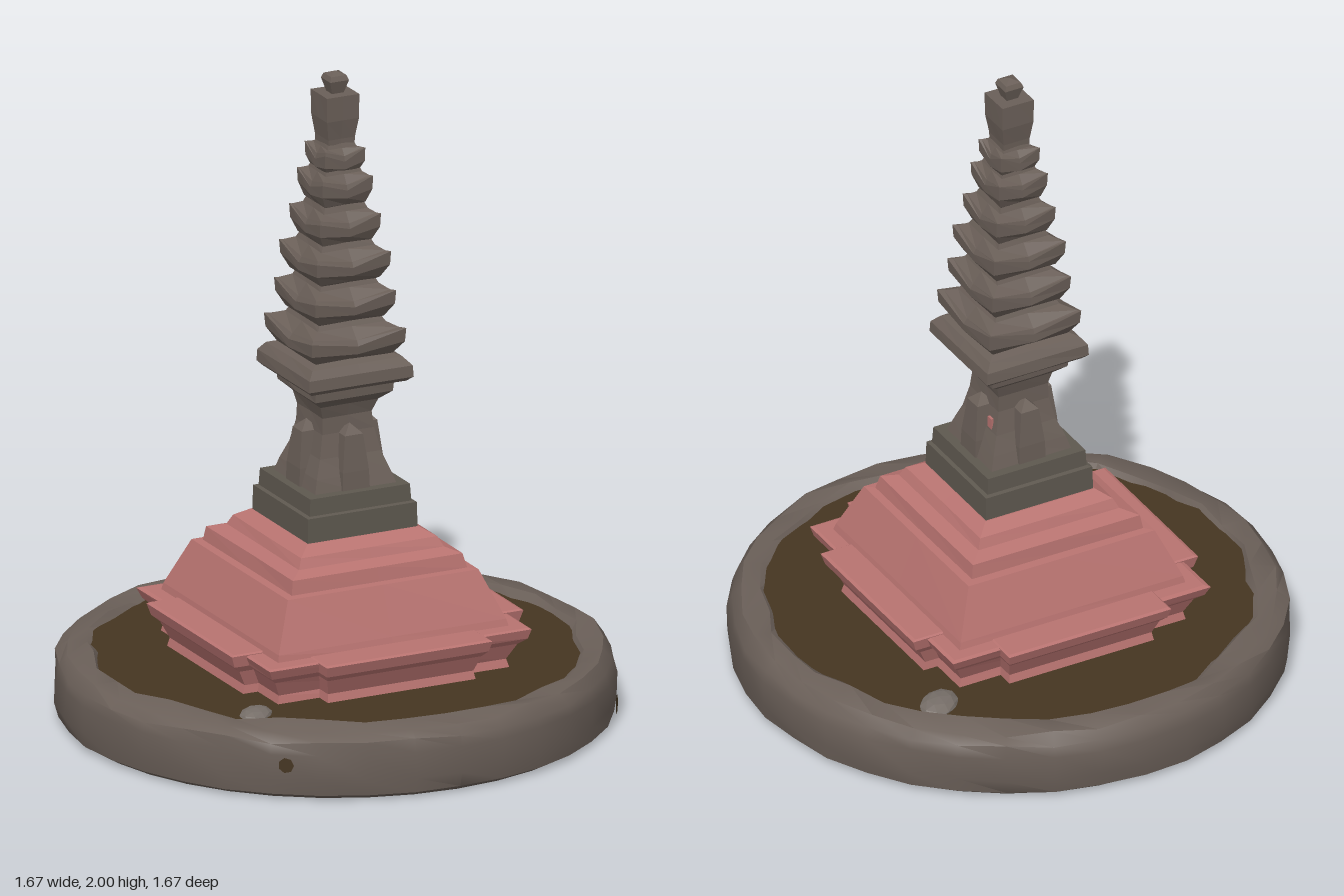
import * as THREE from 'three';
import { toCreasedNormals } from 'three/addons/utils/BufferGeometryUtils.js';

const mat = (name, color) => {
  const m = new THREE.MeshStandardMaterial({ color });
  m.name = name;
  return m;
};

// repeatable pseudo-random value in -1..1
const noise = (a, b = 0) => {
  const s = Math.sin(a * 127.1 + b * 311.7) * 43758.5453;
  return (s - Math.floor(s)) * 2 - 1;
};

// square tower from [halfWidth, y, cornerLift] rows; sx and sz squash the plan
function squareTower(rows, sx = 1, sz = 1, jitter = 0) {
  const g = new THREE.LatheGeometry(rows.map(([r, y]) => new THREE.Vector2(r, y)), 8);
  const p = g.attributes.position;
  for (let v = 0; v < p.count; v++) {
    const col = Math.floor(v / rows.length) % 8, j = v % rows.length;
    const corner = col % 2 === 1;
    const k = (corner ? Math.SQRT2 : 1) * (1 + jitter * noise(col + 1, j));
    const lift = corner ? (rows[j][2] || 0) * (1 + 0.3 * noise(col, j + 5)) : 0;
    p.setXYZ(v, p.getX(v) * k * sx, p.getY(v) + lift, p.getZ(v) * k * sz);
  }
  return flat(g);
}

function flat(g) {
  const f = g.index ? g.toNonIndexed() : g;
  f.computeVertexNormals();
  return f;
}

export function createModel() {
  const root = new THREE.Group();
  const stone = mat('weathered stone', 0x6a5f58);
  const plinthStone = mat('plinth stone', 0x5e584f);
  const pink = mat('faded pink plaster', 0xb87370);
  const soil = mat('soil', 0x453521);
  const rockGrey = mat('grey rock', 0x766e68);
  const add = (name, geo, m) => {
    const mesh = new THREE.Mesh(geo, m);
    mesh.name = name;
    root.add(mesh);
    return mesh;
  };

  // worn round base with an uneven inner lip
  const profile = [[0, 0], [0.8, 0], [0.825, 0.015], [0.832, 0.06], [0.832, 0.14],
    [0.825, 0.175], [0.795, 0.203], [0.73, 0.21], [0.69, 0.17]];
  const seg = 36;
  const rim = new THREE.LatheGeometry(profile.map(([x, y]) => new THREE.Vector2(x, y)), seg);
  const p = rim.attributes.position;
  for (let v = 0; v < p.count; v++) {
    const i = Math.floor(v / profile.length) % seg, j = v % profile.length;
    if (j < 2) continue;
    const k = 1 + (j > 6 ? 0.025 : 0.006) * noise(i, j);
    const dy = j > 4 ? 0.009 * noise(i + 9, j > 6 ? 7 : j) : 0;
    p.setXYZ(v, p.getX(v) * k, p.getY(v) + dy, p.getZ(v) * k);
  }
  add('roundBase', toCreasedNormals(rim, 0.7), stone);

  // earth bed inside the rim
  const bed = new THREE.CircleGeometry(0.75, 36);
  bed.rotateX(-Math.PI / 2);
  add('earthBed', bed, soil).position.y = 0.195;

  // earth stains on the outside of the rim
  [[-0.5, 0.11, 0.024], [0.7, 0.055, 0.028], [0.93 + Math.PI / 4 - 0.55, 0.05, 0.03]].forEach(([a, y, r], i) => {
    const ang = i < 2 ? Math.asin(a / 0.835) : 1.0;
    const s = add('earthStain', new THREE.CircleGeometry(r, 7), soil);
    s.position.set(Math.sin(ang) * 0.838, y, Math.cos(ang) * 0.838);
    s.rotation.y = ang;
  });

  // two half-buried rocks
  [[0.48, -0.43, 0.075, 0.7], [-0.48, 0.43, 0.065, 0.8]].forEach(([x, z, r, turn]) => {
    const rock = add('rock', flat(new THREE.IcosahedronGeometry(r, 1)), rockGrey);
    rock.position.set(x, 0.19, z);
    rock.scale.set(1.05, 0.4, 0.75);
    rock.rotation.y = turn;
  });

  // cross-shaped foot: a square block with an arm through each axis
  const foot = (h, top) => [[h - 0.05, 0.185], [h - 0.06, 0.22], [h - 0.035, 0.27],
    [h - 0.012, 0.29], [h, top - 0.004], [h - 0.01, top], [0, top]];
  add('footBlock', squareTower(foot(0.435, 0.324), 1, 1, 0.006), pink);
  add('footArmAcross', squareTower(foot(0.483, 0.33), 1, 0.58), pink);
  add('footArmDeep', squareTower(foot(0.49, 0.327), 0.56, 1), pink);

  // stepped, sloping pink body
  add('pinkBody', squareTower([[0.385, 0.31], [0.375, 0.345], [0.315, 0.49], [0.29, 0.492],
    [0.282, 0.535], [0.24, 0.55], [0.225, 0.58], [0.185, 0.605], [0, 0.605]], 1, 1, 0.006), pink);

  // plinth of the spire
  add('spirePlinth', squareTower([[0.182, 0.6], [0.18, 0.68], [0.168, 0.683],
    [0.165, 0.735], [0, 0.735]]), plinthStone);

  // waisted neck with a shallow pier on each face
  add('neck', squareTower([[0.135, 0.73], [0.12, 0.775], [0.1, 0.83], [0.085, 0.9],
    [0.082, 0.95], [0.095, 0.99], [0.128, 1.02], [0.13, 1.06]], 1, 1, 0.02), stone);
  for (let i = 0; i < 4; i++) {
    const pier = add('neckPier', squareTower([[0.045, 0.73], [0.043, 0.79], [0.03, 0.9], [0, 0.93]]), stone);
    pier.position.set(Math.sin(i * Math.PI / 2) * 0.095, 0, Math.cos(i * Math.PI / 2) * 0.095);
  }

  // cornice below the roofs
  add('cornice', squareTower([[0.1, 1.035], [0.155, 1.055], [0.172, 1.07], [0.17, 1.105],
    [0.15, 1.13], [0.1, 1.15]], 1, 1, 0.015), stone);

  // stacked roofs with upturned corners: [rim half-width, bottom, rim height, top]
  [[0.155, 1.125, 1.185, 1.265], [0.133, 1.24, 1.3, 1.385], [0.122, 1.36, 1.42, 1.5],
    [0.1, 1.475, 1.535, 1.61], [0.083, 1.59, 1.65, 1.72], [0.066, 1.69, 1.735, 1.79]]
    .forEach(([r, y0, y1, y2]) => {
      add('roofTier', squareTower([[r * 0.66, y0], [r * 0.8, y0 + 0.012], [r * 0.98, y1 - 0.025, 0.015],
        [r, y1, 0.03], [r * 0.93, y1 + 0.016, 0.02], [r * 0.72, (y1 + y2) / 2 + 0.01],
        [r * 0.6, y2], [0, y2]], 1, 1, 0.025), stone);
    });

  // top shaft and knob
  add('topShaft', squareTower([[0.042, 1.75], [0.043, 1.8], [0.052, 1.86], [0.053, 1.935],
    [0, 1.935]], 1, 1, 0.03), stone);
  add('topKnob', squareTower([[0.018, 1.93], [0.031, 1.975], [0.025, 1.99], [0, 2]]), stone);

  // small patch of plaster left on the neck
  const patch = add('plasterPatch', new THREE.BoxGeometry(0.008, 0.035, 0.022), pink);
  patch.position.set(0.097, 0.855, -0.06);
  return root;
}
